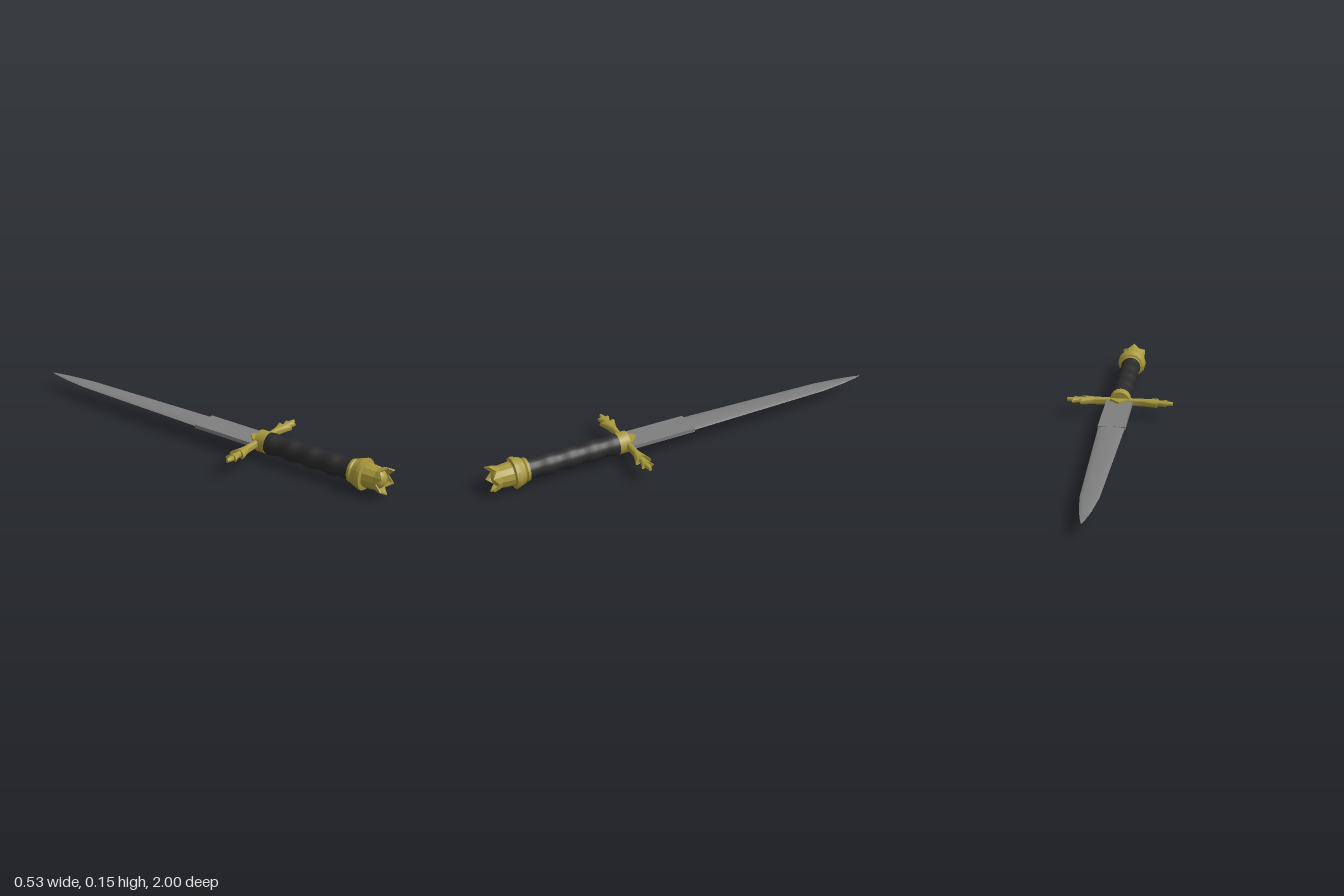
import * as THREE from 'three';
import { toCreasedNormals } from 'three/addons/utils/BufferGeometryUtils.js';

const MID = 0.074; // height of the dagger's axis

const material = (name, color) => {
  const m = new THREE.MeshStandardMaterial({ color });
  m.name = name;
  return m;
};

// Solid along +x from sections [x, halfHeight, halfDepth, notch]; notch pulls the middle of a section back
function loft(sections, sides, crease) {
  const pos = [], index = [];
  sections.forEach(([x, ry, rz, notch = 0]) => {
    for (let j = 0; j < sides; j++) {
      const a = (j / sides) * Math.PI * 2;
      pos.push(x - notch * (1 - Math.abs(Math.sin(a))), ry * Math.cos(a), rz * Math.sin(a));
    }
  });
  for (let i = 0; i < sections.length - 1; i++) {
    for (let j = 0; j < sides; j++) {
      const k = (j + 1) % sides;
      const a = i * sides + j, b = i * sides + k, c = a + sides, d = b + sides;
      index.push(a, b, c, b, d, c);
    }
  }
  const g = new THREE.BufferGeometry();
  g.setAttribute('position', new THREE.Float32BufferAttribute(pos, 3));
  g.setIndex(index);
  return toCreasedNormals(g, crease);
}

// Turned shape along z from [radius, z] points
function turned(profile, sides) {
  const g = new THREE.LatheGeometry(profile.map(([r, z]) => new THREE.Vector2(r, z)), sides);
  return g.rotateX(Math.PI / 2);
}

export function createModel() {
  const root = new THREE.Group();
  root.name = 'dagger';
  const body = new THREE.Group();
  body.name = 'daggerBody';
  body.position.y = MID;
  root.add(body);

  const gold = material('gold', 0xa8983c);
  const steel = material('steel', 0x7e7e7e);
  const leather = material('black leather', 0x2a2a2a);

  const add = (name, geometry, mat, parent = body) => {
    const mesh = new THREE.Mesh(geometry, mat);
    mesh.name = name;
    parent.add(mesh);
    return mesh;
  };

  // Blade: tapering lens section, then the flat base section
  const blade = add('blade', loft([
    [0, 0, 0], [0, 0.0085, 0.064], [0.4, 0.0075, 0.053], [0.75, 0.006, 0.043],
    [0.88, 0.004, 0.027], [0.96, 0.003, 0.011], [1, 0, 0],
  ], 12, 1.2), steel);
  blade.rotation.y = Math.PI / 2;
  add('bladeBase', new THREE.BoxGeometry(0.132, 0.018, 0.33), steel).position.z = 0.155;

  // Guard centre, pointed towards the blade
  const shape = new THREE.Shape([
    [-0.047, -0.345], [0.047, -0.345], [0.047, -0.31], [0, -0.27], [-0.047, -0.31],
  ].map(([x, y]) => new THREE.Vector2(x, y)));
  const centre = new THREE.ExtrudeGeometry(shape, { depth: 0.04, bevelEnabled: false });
  centre.rotateX(-Math.PI / 2).translate(0, -0.02, 0);
  add('guardCentre', centre, gold);

  // Guard arms: flared bar, smaller flared bud and tip
  [['leftGuardArm', 0], ['rightGuardArm', Math.PI]].forEach(([name, turn]) => {
    const arm = new THREE.Group();
    arm.name = name;
    arm.position.z = 0.328;
    arm.rotation.y = turn;
    body.add(arm);
    add('guardBar', loft([
      [0, 0.02, 0.016], [0.07, 0.02, 0.014], [0.12, 0.02, 0.016],
      [0.155, 0.02, 0.026], [0.195, 0.02, 0.04, 0.025], [0.17, 0, 0],
    ], 16, 0.7), gold, arm);
    add('guardBud', loft([
      [0.16, 0.015, 0.014], [0.2, 0.015, 0.016], [0.215, 0.015, 0.022],
      [0.238, 0.015, 0.031, 0.015], [0.223, 0, 0],
    ], 16, 0.7), gold, arm);
    add('guardTip', loft([
      [0.21, 0.012, 0.01], [0.24, 0.012, 0.014], [0.267, 0.009, 0.007], [0.267, 0, 0],
    ], 12, 0.7), gold, arm);
  });

  // Collar between guard and grip
  add('collar', toCreasedNormals(turned([
    [0, 0.32], [0.052, 0.32], [0.052, 0.372], [0, 0.372],
  ], 16), 0.6), gold);

  // Grip with soft swells
  const grip = [];
  for (let i = 0; i <= 32; i++) {
    const z = 0.365 + (i / 32) * 0.465;
    grip.push([0.049 - 0.004 * Math.cos(((z - 0.5) / 0.11) * Math.PI * 2 + Math.PI), z]);
  }
  add('grip', turned(grip, 20), leather);

  // Pommel with its wide ring
  add('pommel', toCreasedNormals(turned([
    [0, 0.818], [0.054, 0.818], [0.056, 0.83], [0.05, 0.838], [0.062, 0.842],
    [0.067, 0.86], [0.074, 0.875], [0.074, 0.89], [0.056, 0.894], [0, 0.894],
  ], 12), 0.6), gold);

  // Crown of six flared petals: every second rim point drops and draws in
  const crown = turned([
    [0.056, 0.89], [0.055, 0.92], [0.052, 0.953], [0.068, 1], [0.061, 1], [0.046, 0.953], [0.046, 0.92],
  ], 12);
  const p = crown.attributes.position;
  for (let i = 0; i < p.count; i++) {
    if (p.getZ(i) < 0.99) continue;
    const step = Math.round(Math.atan2(p.getX(i), p.getY(i)) / (Math.PI / 6));
    if (step % 2 !== 0) p.setXYZ(i, p.getX(i) * 0.86, p.getY(i) * 0.86, 0.972);
  }
  add('pommelCrown', toCreasedNormals(crown, 0.4), gold);

  // Dome inside the crown
  add('pommelDome', new THREE.SphereGeometry(0.049, 20, 14), gold).position.z = 0.941;

  return root;
}
